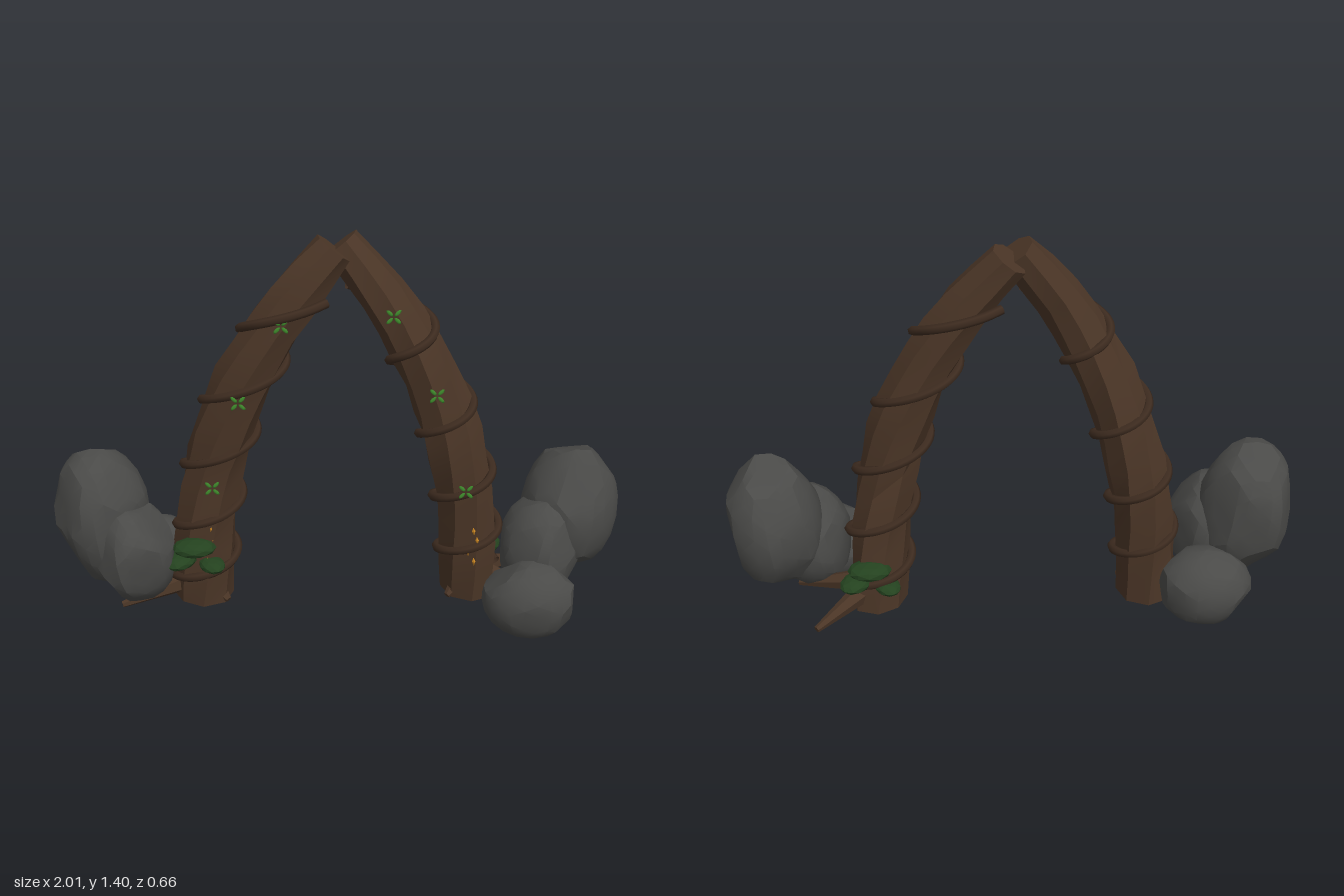
import * as THREE from 'three';
import { toCreasedNormals } from 'three/addons/utils/BufferGeometryUtils.js';

const V = (x, y, z) => new THREE.Vector3(x, y, z);
const mat = (color, flatShading = false) =>
  new THREE.MeshStandardMaterial({ color, flatShading, side: THREE.DoubleSide });

function seeded(seed) {
  let s = seed;
  return () => (s = (s * 16807) % 2147483647) / 2147483647;
}

function add(parent, name, geometry, material) {
  const mesh = new THREE.Mesh(geometry, material);
  mesh.name = name;
  parent.add(mesh);
  return mesh;
}

// Curve of one trunk, mirrored in x: x, y, z and the sway that differs by side
function trunkCurve(s) {
  const path = [[0.487, 0.05, -0.055, 0], [0.47, 0.3, -0.045, 0.012], [0.43, 0.57, -0.036, 0.025],
    [0.335, 0.87, -0.02, 0.003], [0.185, 1.145, -0.02, -0.024], [0.012, 1.362, -0.05, -0.03]];
  return new THREE.CatmullRomCurve3(path.map(([x, y, z, sway]) => V(s * x, y, z + s * sway)));
}

const radius = (t) => 0.113 - 0.043 * t * t * t;

// Point on a trunk: t along the curve, a around it (0 = +x side, PI/2 = front)
function trunkPoint(curve, t, a, scale = 1) {
  const tangent = curve.getTangentAt(t);
  const side = tangent.clone().cross(V(0, 0, 1)).normalize();
  const front = side.clone().cross(tangent).normalize();
  const r = radius(t) * scale;
  return curve.getPointAt(t)
    .addScaledVector(side, Math.cos(a) * r * 0.95)
    .addScaledVector(front, Math.sin(a) * r);
}

// Faceted, twisted trunk with closed ends
function trunkGeometry(curve, seed) {
  const rnd = seeded(seed), rings = 13, sides = 8, pos = [], idx = [];
  const ridge = Array.from({ length: sides }, () => 0.93 + rnd() * 0.14);
  for (let i = 0; i <= rings; i++) {
    const t = i / rings;
    for (let j = 0; j < sides; j++) {
      const bump = ridge[j] * (0.94 + rnd() * 0.13);
      const p = trunkPoint(curve, t, (j / sides) * Math.PI * 2 - t * 1.2, bump);
      if (i === 0) p.y = 0.045 + rnd() * 0.015;
      pos.push(p.x, p.y, p.z);
    }
  }
  for (let i = 0; i < rings; i++) {
    for (let j = 0; j < sides; j++) {
      const k = (j + 1) % sides, a = i * sides, b = a + sides;
      idx.push(a + j, b + j, a + k, b + j, b + k, a + k);
    }
  }
  for (const t of [0, 1]) {
    const c = curve.getPointAt(t), n = pos.length / 3, ring = t * rings * sides;
    pos.push(c.x, c.y, c.z);
    for (let j = 0; j < sides; j++) {
      const k = ring + (j + 1) % sides;
      if (t) idx.push(n, k, ring + j);
      else idx.push(n, j, k);
    }
  }
  const g = new THREE.BufferGeometry();
  g.setAttribute('position', new THREE.Float32BufferAttribute(pos, 3));
  g.setIndex(idx);
  return toCreasedNormals(g, 0.35);
}

// Boulder: sphere cut by a few flat planes, then stretched
function rockGeometry(size, seed) {
  const rnd = seeded(seed), v = V(0, 0, 0);
  const g = new THREE.IcosahedronGeometry(1.04, 3), p = g.attributes.position;
  const cuts = Array.from({ length: 15 }, () => ({
    n: V(rnd() - 0.5, rnd() - 0.5, rnd() - 0.5).normalize(), d: 0.87 + rnd() * 0.1 }));
  for (let i = 0; i < p.count; i++) {
    v.fromBufferAttribute(p, i);
    for (const { n, d } of cuts) v.addScaledVector(n, -Math.max(0, v.dot(n) - d));
    v.multiply(size);
    p.setXYZ(i, v.x, v.y, v.z);
  }
  return toCreasedNormals(g, 0.4);
}

// Vine wound in level circles with a growing pitch, its tip standing clear
function vineGeometry(curve, phase) {
  const count = 72, pts = [];
  for (let i = 0; i <= count; i++) {
    const turn = -1.2 + 4.34 * (i / count);
    const t = 0.24 + 0.16 * turn + 0.0115 * turn * turn;
    const a = phase - Math.PI * 2 * turn;
    const r = radius(t) * (1.01 + Math.max(0, i - count + 5) * 0.05);
    pts.push(curve.getPointAt(t).add(V(Math.cos(a) * r / curve.getTangentAt(t).y, 0, Math.sin(a) * r)));
  }
  return new THREE.TubeGeometry(new THREE.CatmullRomCurve3(pts), 160, 0.016, 6);
}

export function createModel() {
  const model = new THREE.Group();
  model.name = 'trunkArch';
  const bark = mat(0x4a3526), rootMat = mat(0x4a3526, true), vineMat = mat(0x3d2b1f);
  const stone = mat(0x4a4a48), moss = mat(0x24421f, true), leaf = mat(0x3f8a2c);
  const amber = mat(0xd08a24);

  // Boulders on the +x side: centre and half sizes
  const rocks = [
    [V(0.838, 0.385, -0.045), V(0.165, 0.25, 0.185)],
    [V(0.725, 0.28, 0.035), V(0.145, 0.185, 0.165)],
    [V(0.675, 0.145, 0.19), V(0.168, 0.14, 0.138)],
  ];

  for (const s of [-1, 1]) {
    const half = new THREE.Group();
    half.name = s > 0 ? 'leftHalf' : 'rightHalf';
    model.add(half);
    const curve = trunkCurve(s);
    add(half, 'trunk', trunkGeometry(curve, 69 + s * 28), bark);
    add(half, 'vine', vineGeometry(curve, -s * Math.PI / 2), vineMat);

    // Tapered roots spreading outward from the foot
    for (const [angle, reach] of [[0.33, 0.31], [-0.74, 0.29], [2.4, 0.12]]) {
      const dir = V(s * Math.cos(angle) * reach, -0.07, Math.sin(angle) * reach);
      const root = add(half, 'root', new THREE.CylinderGeometry(0.012, 0.05, dir.length(), 6), rootMat);
      root.position.copy(curve.getPointAt(0)).addScaledVector(dir, 0.5);
      root.position.y = 0.095;
      root.quaternion.setFromUnitVectors(V(0, 1, 0), dir.normalize());
    }

    // Boulders against the foot; the smallest swaps between front and back
    rocks.forEach(([centre, size], i) => {
      const rock = add(half, 'rock', rockGeometry(size, 3000 + s * 900 + i * 977), stone);
      rock.position.copy(centre);
      rock.position.x *= s;
      if (i === 2) rock.position.z *= s;
      else rock.rotation.z = -s * 0.1 * (i + 1);
    });

    // Flat moss clumps, in front on one foot and behind on the other
    [[0.51, 0.3], [0.56, 0.25], [0.45, 0.23]].forEach(([x, y], i) => {
      const clump = add(half, 'moss', new THREE.IcosahedronGeometry(0.078 - i * 0.009, 1), moss);
      clump.position.set(s * x, s > 0 ? y - 0.07 : y, -0.04 - s * 0.105);
      clump.scale.set(1, 0.4, 0.75);
      clump.rotation.y = i;
    });

    // Four-leaf sprigs before the trunk
    for (const t of [0.34, 0.59, 0.8]) {
      const sprig = new THREE.Group();
      sprig.name = 'sprig';
      sprig.position.copy(trunkPoint(curve, t, Math.PI / 2, 1.16));
      for (let i = 0; i < 4; i++) {
        const a = Math.PI * (0.25 + i / 2);
        const blade = add(sprig, 'leaf', new THREE.SphereGeometry(0.015, 6, 4), leaf);
        blade.scale.set(1, 0.45, 0.2);
        blade.position.set(Math.cos(a) * 0.019, Math.sin(a) * 0.019, 0);
        blade.rotation.z = a;
      }
      half.add(sprig);
    }

    // Amber resin drips low on the bark
    for (let i = 0; i < 4; i++) {
      const t = 0.13 + i * 0.03;
      const drip = add(half, 'resin', new THREE.OctahedronGeometry(0.008), amber);
      drip.position.copy(trunkPoint(curve, t, 1.5 + 0.2 * Math.sin(i * 2)));
      drip.quaternion.setFromUnitVectors(V(0, 1, 0), curve.getTangentAt(t));
      drip.scale.set(0.8, 2.2, 0.8);
    }
  }
  return model;
}
